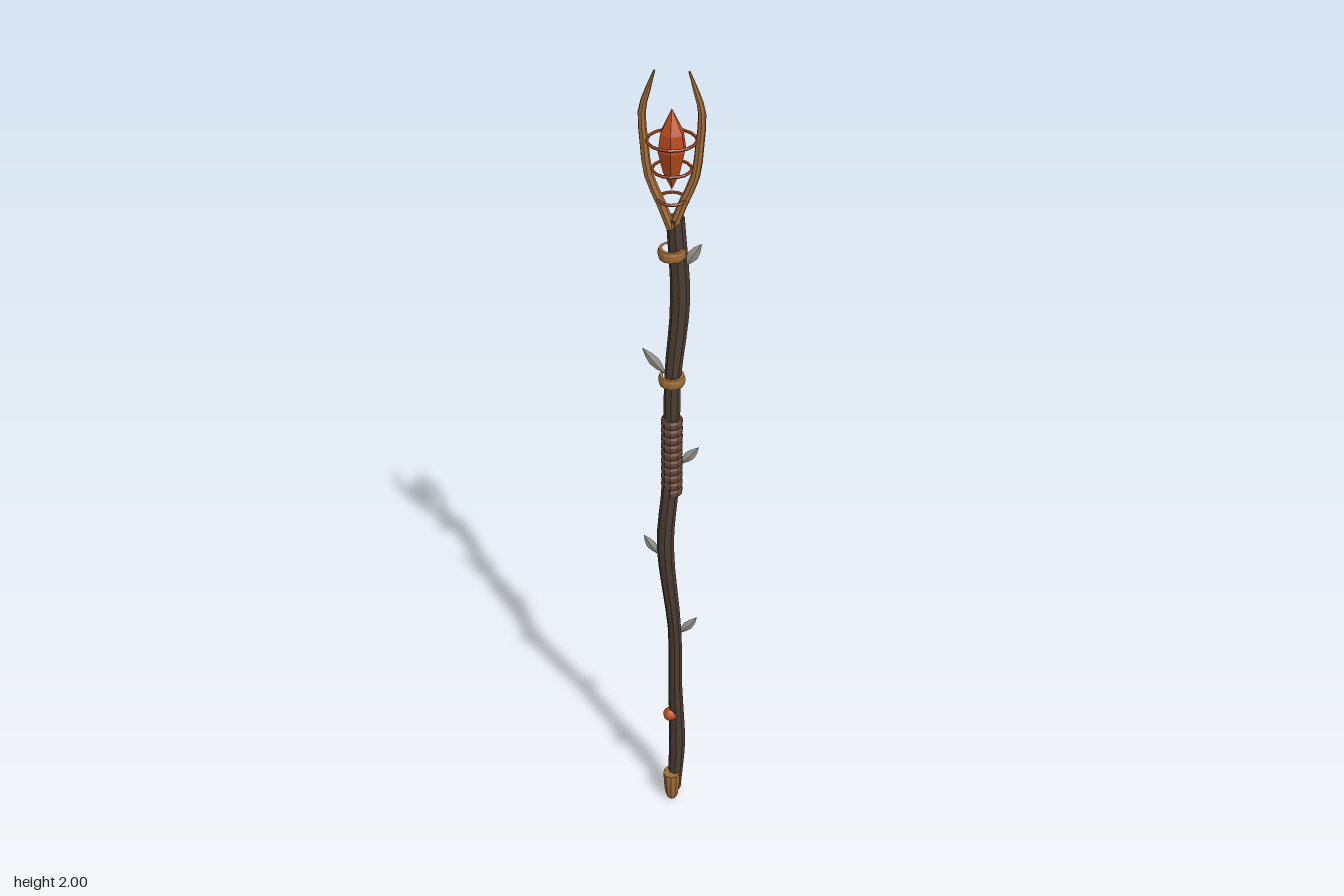
import * as THREE from 'three';

const mat = (color) => new THREE.MeshStandardMaterial({ color, flatShading: true });
const V = (x, y, z = 0) => new THREE.Vector3(x, y, z);

// Capped rod swept along a path, with the radius given per control point
function rod(points, radii, segments, sides) {
  const curve = new THREE.CatmullRomCurve3(points, false, 'catmullrom', 0.5);
  const geo = new THREE.CylinderGeometry(1, 1, 1, sides, segments);
  const pos = geo.attributes.position;
  for (let i = 0; i < pos.count; i++) {
    const t = Math.min(1, Math.max(0, pos.getY(i) + 0.5));
    const k = t * (radii.length - 1);
    const j = Math.min(Math.floor(k), radii.length - 2);
    const r = THREE.MathUtils.lerp(radii[j], radii[j + 1], k - j);
    const p = curve.getPoint(t);
    const turn = new THREE.Quaternion().setFromUnitVectors(V(0, 1), curve.getTangent(t));
    const offset = V(pos.getX(i) * r, 0, pos.getZ(i) * r).applyQuaternion(turn);
    pos.setXYZ(i, p.x + offset.x, p.y + offset.y, p.z + offset.z);
  }
  geo.computeVertexNormals();
  return geo;
}

const lathe = (profile, sides) =>
  new THREE.LatheGeometry(profile.map(([r, y]) => new THREE.Vector2(r, y)), sides);

export function createModel() {
  const model = new THREE.Group();
  const add = (name, geo, material) => {
    const mesh = new THREE.Mesh(geo, material);
    mesh.name = name;
    model.add(mesh);
    return mesh;
  };
  const wood = mat(0x4b3c31), leather = mat(0x634737), metal = mat(0xa06c38);
  const copper = mat(0xa84a20), gem = mat(0xb84a1c), leafGrey = mat(0x96958a);
  leafGrey.side = THREE.DoubleSide;

  // Crooked wooden shaft
  add('shaft', rod([
    V(0.005, 0.03, -0.01), V(0.012, 0.2, -0.012), V(0.008, 0.4, -0.006), V(0.006, 0.6, 0),
    V(-0.014, 0.85, 0.009), V(-0.003, 1.03, 0.004), V(0, 1.2, 0), V(0.002, 1.32, -0.002),
    V(0.016, 1.5, -0.012), V(0.006, 1.69, -0.009),
  ], [0.017, 0.021, 0.017, 0.016, 0.02, 0.019, 0.018, 0.018, 0.021, 0.019], 36, 8), wood);

  // Foot cap
  add('footCap', lathe([[0, 0.005], [0.012, 0.005], [0.017, 0.02], [0.021, 0.06],
    [0.022, 0.095], [0, 0.095]], 10), metal);
  add('footTip', new THREE.SphereGeometry(0.013, 8, 6).translate(0, 0.013, 0), metal);

  // Small inset bead
  add('bead', new THREE.SphereGeometry(0.018, 10, 8).translate(-0.004, 0.305, 0), gem);

  // Grip wrapping with bulging turns
  const turns = 10, gripProfile = [[0, 1.005]];
  for (let i = 0; i < turns; i++) {
    const y = 1.005 + i * 0.0205;
    gripProfile.push([0.0215, y], [0.0245, y + 0.006], [0.0245, y + 0.0145], [0.0215, y + 0.0205]);
  }
  gripProfile.push([0, 1.21]);
  add('gripWrap', lathe(gripProfile, 10), leather);

  // Metal collars
  for (const y of [1.31, 1.615]) {
    add('collar', lathe([[0.02, y - 0.011], [0.027, y - 0.011], [0.029, y - 0.004],
      [0.029, y + 0.004], [0.027, y + 0.011], [0.02, y + 0.011]], 12), metal);
  }

  // Claw prongs
  for (const s of [-1, 1]) {
    add('prong', rod([V(s * 0.002, 1.67), V(s * 0.022, 1.725), V(s * 0.046, 1.785),
      V(s * 0.054, 1.85), V(s * 0.058, 1.915), V(s * 0.047, 1.958), V(s * 0.033, 2.0)],
    [0.01, 0.01, 0.0095, 0.009, 0.008, 0.006, 0.002], 12, 7), metal);
  }

  // Level rings round the gem
  for (const [y, r] of [[1.735, 0.028], [1.8, 0.039], [1.86, 0.049]]) {
    add('ring', new THREE.TorusGeometry(r, 0.0033, 5, 16).rotateX(Math.PI / 2).translate(0, y, 0), copper);
  }

  // Faceted gem
  add('gem', lathe([[0, 1.755], [0.019, 1.795], [0.03, 1.84], [0.025, 1.875], [0, 1.925]], 6), gem);

  // Leaves: base point, tip point
  const leaves = [
    [0.018, 0.58, 0, 0.06, 0.635], [-0.03, 0.83, 0.009, -0.063, 0.885],
    [0.018, 1.085, 0, 0.06, 1.135], [-0.012, 1.32, 0, -0.063, 1.385],
    [0.024, 1.58, -0.006, 0.06, 1.635],
  ];
  for (const [x, y, z, tipX, tipY] of leaves) {
    const dx = tipX - x, dy = tipY - y, len = Math.hypot(dx, dy);
    const leaf = add('leaf', lathe([[0, 0], [0.009, len * 0.3], [0.012, len * 0.5],
      [0.008, len * 0.75], [0, len]], 4), leafGrey);
    // Square section turned and flattened to a creased blade
    leaf.geometry.scale(1, 1, 0.4);
    leaf.position.set(x, y, z);
    leaf.rotation.z = Math.atan2(-dx, dy);
  }
  return model;
}
